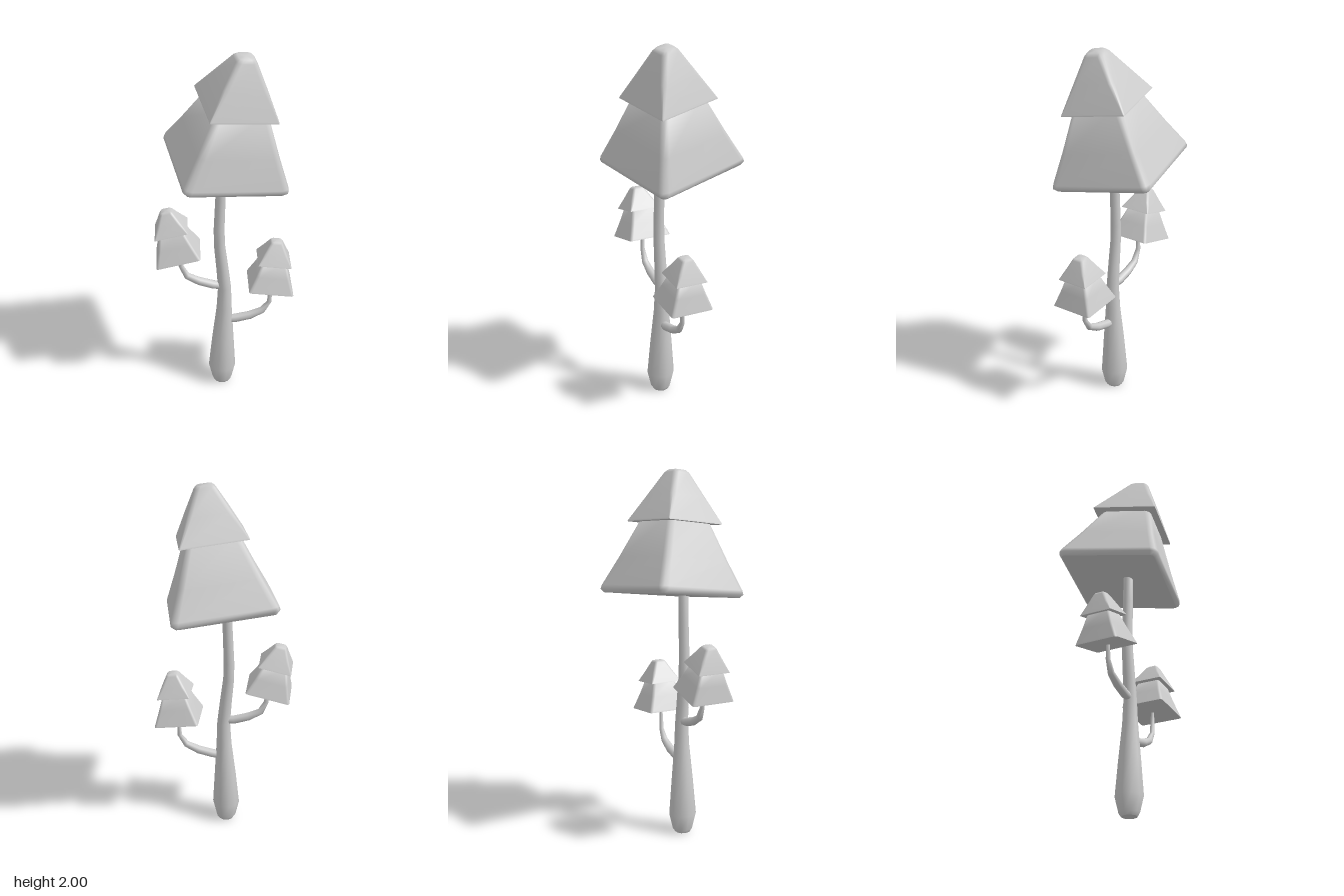
import * as THREE from 'three';

// Skin a stack of closed rings (bottom to top); the base is a separate flat face
function loft(rings) {
  const n = rings[0].length;
  const verts = rings.flat();
  const index = [];
  for (let k = 0; k < rings.length - 1; k++) {
    for (let i = 0; i < n; i++) {
      const a = k * n + i, b = k * n + (i + 1) % n;
      index.push(a, a + n, b, b, a + n, b + n);
    }
  }
  const centre = (ring) => ring.reduce((s, p) => s.add(p), new THREE.Vector3()).divideScalar(n);
  const top = (rings.length - 1) * n;
  const topCentre = verts.push(centre(rings[rings.length - 1])) - 1;
  const base = verts.length;
  verts.push(...rings[0], centre(rings[0]));
  for (let i = 0; i < n; i++) {
    const j = (i + 1) % n;
    index.push(top + i, topCentre, top + j);
    index.push(base + i, base + j, base + n);
  }
  const g = new THREE.BufferGeometry().setFromPoints(verts);
  g.setIndex(index);
  g.computeVertexNormals();
  return g;
}

// Square ring with clipped corners
function squareRing(h, y, clip) {
  const ring = [];
  for (let q = 0; q < 4; q++) {
    for (const [x, z] of [[h, h - clip], [h - clip * 0.3, h - clip * 0.3], [h - clip, h]]) {
      let p = [x, z];
      for (let t = 0; t < q; t++) p = [-p[1], p[0]];
      ring.push(new THREE.Vector3(p[0], y, p[1]));
    }
  }
  return ring;
}

const tier = (profile) => loft(profile.map(([h, y, clip]) => squareRing(h, y, clip)));

// Round limb along a path of [x, y, radius] in the plane z = 0.062
function limb(path, sides) {
  const rings = path.map(([x, y, r], k) => {
    const p = path[Math.max(k - 1, 0)], q = path[Math.min(k + 1, path.length - 1)];
    const t = new THREE.Vector2(q[0] - p[0], q[1] - p[1]).normalize();
    return Array.from({ length: sides }, (_, i) => {
      const a = i / sides * Math.PI * 2, c = r * Math.cos(a);
      return new THREE.Vector3(x + t.y * c, y - t.x * c, 0.062 + r * Math.sin(a));
    });
  });
  return loft(rings);
}

export function createModel() {
  const model = new THREE.Group();
  model.name = 'tree';
  const grey = new THREE.MeshStandardMaterial({ color: 0xcccccc });
  grey.name = 'light grey';

  const add = (parent, name, geometry) => {
    const mesh = new THREE.Mesh(geometry, grey);
    mesh.name = name;
    parent.add(mesh);
    return mesh;
  };

  // Trunk and branches
  add(model, 'trunk', limb([
    [-0.015, 0.005, 0.042], [-0.015, 0.025, 0.055], [-0.015, 0.11, 0.075], [-0.01, 0.3, 0.06],
    [-0.003, 0.5, 0.042], [-0.001, 0.63, 0.036], [-0.012, 0.75, 0.033], [-0.028, 0.9, 0.03],
    [-0.03, 1.0, 0.029], [-0.022, 1.2, 0.027], [-0.018, 1.36, 0.026],
  ], 10));
  add(model, 'rightBranch', limb([
    [-0.01, 0.645, 0.022], [-0.06, 0.65, 0.024], [-0.14, 0.675, 0.023], [-0.205, 0.71, 0.019],
    [-0.237, 0.775, 0.013], [-0.24, 0.87, 0.01],
  ], 8));
  add(model, 'leftBranch', limb([
    [0.01, 0.42, 0.022], [0.06, 0.424, 0.024], [0.14, 0.442, 0.023], [0.21, 0.475, 0.019],
    [0.247, 0.53, 0.013], [0.255, 0.655, 0.009],
  ], 8));

  // Large two-tier crown, leaning along its own axis
  const crown = new THREE.Group();
  crown.name = 'mainCrown';
  crown.position.set(0, 1.343, 0);
  const up = new THREE.Vector3(0, 1, 0);
  crown.quaternion.setFromUnitVectors(up, new THREE.Vector3(0.156, 1, 0.13).normalize())
    .multiply(new THREE.Quaternion().setFromAxisAngle(up, 0.21));
  add(crown, 'lowerTier', tier([
    [0.262, 0, 0.02], [0.28, 0.018, 0.035], [0.277, 0.04, 0.04], [0.215, 0.19, 0.035], [0.135, 0.4, 0.03],
  ]));
  add(crown, 'upperTier', tier([
    [0.18, 0.382, 0.004], [0.178, 0.39, 0.008], [0.115, 0.525, 0.025], [0.055, 0.645, 0.025], [0.04, 0.661, 0.02],
  ]));
  model.add(crown);

  // Small two-tier crowns on the branch tips
  for (const [name, x, y, tilt] of [['rightCrown', -0.25, 0.853, 0.225], ['leftCrown', 0.248, 0.65, -0.12]]) {
    const small = new THREE.Group();
    small.name = name;
    small.position.set(x, y, 0.06);
    small.rotation.z = tilt;
    add(small, 'lowerTier', tier([
      [0.121, 0, 0.012], [0.119, 0.008, 0.015], [0.09, 0.085, 0.015], [0.062, 0.165, 0.012],
    ]));
    add(small, 'upperTier', tier([
      [0.09, 0.156, 0.003], [0.088, 0.161, 0.006], [0.063, 0.21, 0.014], [0.034, 0.265, 0.013], [0.026, 0.274, 0.01],
    ]));
    model.add(small);
  }
  return model;
}
